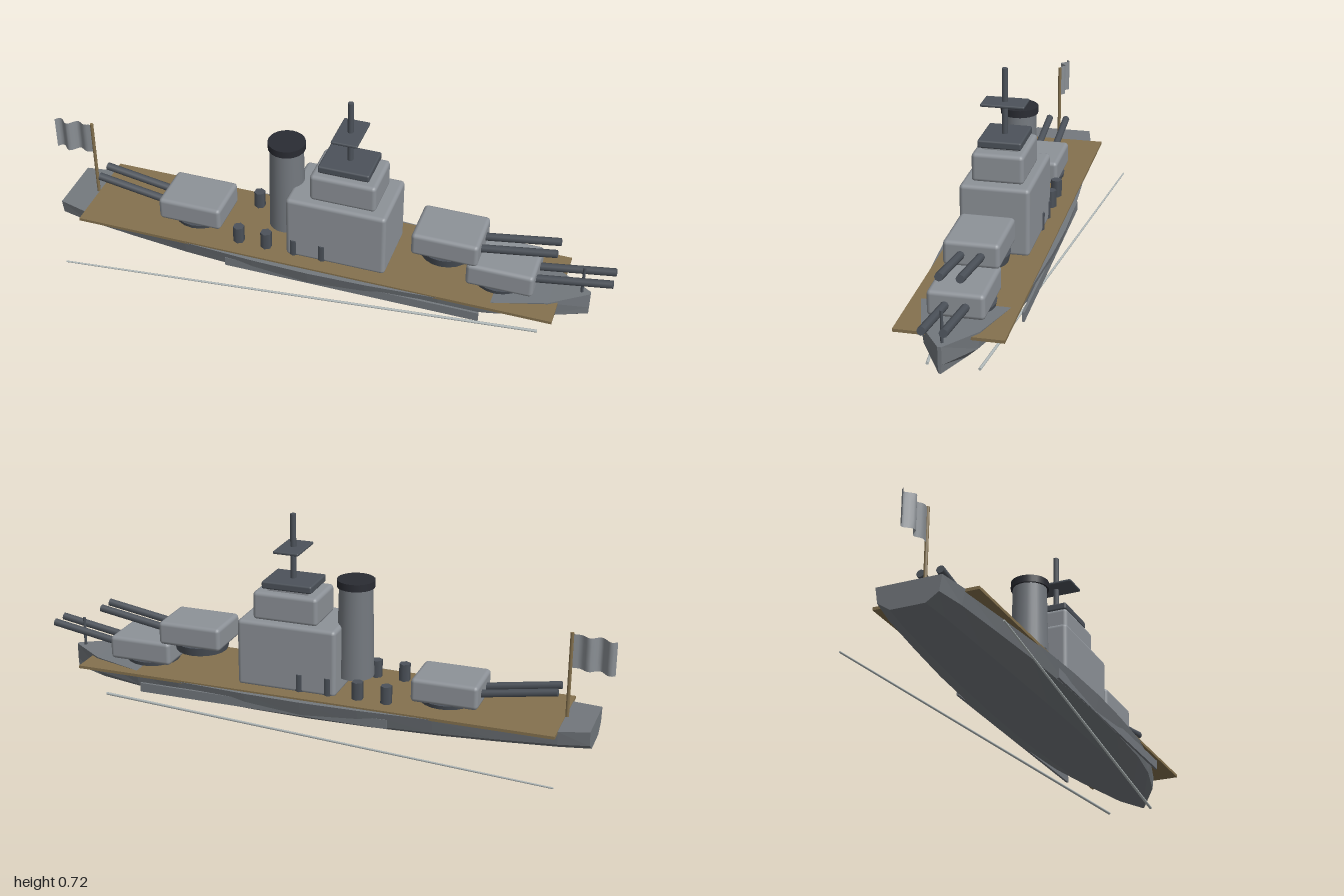
import * as THREE from 'three';
import { RoundedBoxGeometry } from 'three/addons/geometries/RoundedBoxGeometry.js';

const mat = (name, color, extra = {}) => {
  const m = new THREE.MeshStandardMaterial({ color, ...extra });
  m.name = name;
  return m;
};

// Hull lofted from stations: [x, half width at deck, deck height]
function hullGeometry() {
  const stations = [
    [-0.95, 0.105, 0.144], [-0.85, 0.127, 0.139], [-0.65, 0.15, 0.136], [-0.45, 0.17, 0.135],
    [-0.2, 0.185, 0.135], [0, 0.19, 0.135], [0.2, 0.185, 0.135], [0.45, 0.17, 0.136],
    [0.62, 0.142, 0.141], [0.8, 0.09, 0.146], [0.925, 0.006, 0.15],
  ];
  const rings = stations.map(([x, w, top]) => {
    const t = (x / 0.93) ** 2;
    const knuckle = 0.08 + 0.012 * t, keel = 0.04 + 0.024 * t;
    return [[w, top], [w * 0.92, knuckle], [w * 0.53, keel],
      [-w * 0.53, keel], [-w * 0.92, knuckle], [-w, top]].map(([z, y]) => [x, y, z]);
  });
  const pos = [];
  const tri = (a, b, c) => pos.push(...a, ...b, ...c);
  for (let i = 0; i < rings.length - 1; i++) {
    const a = rings[i], b = rings[i + 1];
    for (let j = 0; j < 6; j++) {
      const k = (j + 1) % 6;
      tri(a[j], a[k], b[k]);
      tri(a[j], b[k], b[j]);
    }
  }
  const stern = rings[0], bow = rings[rings.length - 1];
  for (let j = 1; j < 5; j++) {
    tri(stern[0], stern[j + 1], stern[j]);
    tri(bow[0], bow[j], bow[j + 1]);
  }
  const g = new THREE.BufferGeometry();
  g.setAttribute('position', new THREE.Float32BufferAttribute(pos, 3));
  g.computeVertexNormals();
  return g;
}

export function createModel() {
  const ship = new THREE.Group();
  ship.name = 'battleship';

  const hullGrey = mat('hull grey', 0x73787d, { flatShading: true });
  const upperGrey = mat('upperworks grey', 0x8d9298);
  const funnelGrey = mat('funnel grey', 0x74797f);
  const darkGrey = mat('dark metal', 0x4c525a);
  const black = mat('funnel black', 0x2a2c33);
  const wood = mat('deck wood', 0x84714e);
  const cloth = mat('flag cloth', 0x8a8f94, { side: THREE.DoubleSide });
  const foam = mat('wake foam', 0xb2baba);

  const add = (name, geo, material, x, y, z, parent = ship) => {
    const m = new THREE.Mesh(geo, material);
    m.name = name;
    m.position.set(x, y, z);
    parent.add(m);
    return m;
  };
  // Box given by its limits in x and y and its half width in z
  const block = (name, x0, x1, y0, y1, hz, r, material) => add(name,
    r ? new RoundedBoxGeometry(x1 - x0, y1 - y0, hz * 2, 2, r) : new THREE.BoxGeometry(x1 - x0, y1 - y0, hz * 2),
    material, (x0 + x1) / 2, (y0 + y1) / 2, 0);
  const post = (name, rTop, rBottom, y0, y1, sides, material, x, z = 0) => add(name,
    new THREE.CylinderGeometry(rTop, rBottom, y1 - y0, sides), material, x, (y0 + y1) / 2, z);
  // Straight rod between two points, tapering from r0 to r1
  const rod = (name, a, b, r0, r1, sides, material, parent = ship) => {
    const p = new THREE.Vector3(...a), d = new THREE.Vector3(...b).sub(p);
    const m = add(name, new THREE.CylinderGeometry(r1, r0, d.length(), sides), material, 0, 0, 0, parent);
    m.position.copy(p).addScaledVector(d, 0.5);
    m.quaternion.setFromUnitVectors(new THREE.Vector3(0, 1, 0), d.normalize());
    return m;
  };

  // Hull, deck and side belts
  add('hull', hullGeometry(), hullGrey, 0, 0, 0);
  block('deck', -0.85, 0.83, 0.131, 0.141, 0.17, 0, wood);
  for (const s of [-1, 1]) {
    add('sideBelt', new THREE.BoxGeometry(0.89, 0.032, 0.008), hullGrey, 0.145, 0.097, s * 0.172);
  }

  // Superstructure and bridge
  block('superstructure', -0.1, 0.25, 0.135, 0.37, 0.117, 0.014, upperGrey);
  block('upperHouse', -0.025, 0.205, 0.365, 0.465, 0.087, 0.014, upperGrey);
  block('bridgeNeck', 0.015, 0.16, 0.455, 0.48, 0.06, 0, upperGrey);
  block('bridgeTop', 0, 0.177, 0.474, 0.5, 0.073, 0.006, darkGrey);
  post('mast', 0.01, 0.01, 0.495, 0.723, 10, darkGrey, 0.09);
  block('yard', 0.045, 0.135, 0.6, 0.61, 0.073, 0.004, darkGrey);

  // Funnel
  post('funnel', 0.057, 0.064, 0.183, 0.5, 24, funnelGrey, -0.132);
  post('funnelCap', 0.064, 0.064, 0.497, 0.522, 24, black, -0.132);

  // Main turrets with twin barrels
  const turret = (name, x, y, dir) => {
    const g = new THREE.Group();
    g.name = name;
    g.position.set(x, y, 0);
    g.rotation.y = dir > 0 ? 0 : Math.PI;
    add('barbette', new THREE.CylinderGeometry(0.097, 0.09, 0.03, 20), darkGrey, -0.01, -0.01, 0, g);
    add('gunhouse', new RoundedBoxGeometry(0.228, 0.083, 0.18, 2, 0.014), upperGrey, 0, 0.0415, 0, g);
    for (const z of [-0.032, 0.032]) {
      rod('barrel', [0.06, 0.032, z], [0.362, 0.083, z], 0.0135, 0.0135, 8, darkGrey, g);
    }
    ship.add(g);
  };
  turret('foreTurret', 0.633, 0.15, 1);
  turret('raisedTurret', 0.443, 0.228, 1);
  turret('aftTurret', -0.465, 0.15, -1);

  // Small deck guns along both sides
  for (const x of [-0.275, -0.175, -0.073, 0.028]) {
    for (const z of [-0.103, 0.103]) post('deckGun', 0.02, 0.02, 0.138, 0.202, 6, darkGrey, x, z);
  }

  // Bow staff, flagpole and waving flag
  post('bowStaff', 0.005, 0.005, 0.14, 0.252, 8, darkGrey, 0.895);
  post('flagpole', 0.006, 0.006, 0.13, 0.43, 8, wood, -0.855);
  const flagGeo = new THREE.PlaneGeometry(0.142, 0.115, 16, 4);
  const p = flagGeo.attributes.position;
  for (let i = 0; i < p.count; i++) {
    const u = 0.071 - p.getX(i);
    p.setZ(i, 0.014 * Math.sin(u * 88) * Math.min(1, u * 15));
    p.setY(i, p.getY(i) - u * 0.06);
  }
  flagGeo.computeVertexNormals();
  add('flag', flagGeo, cloth, -0.929, 0.368, 0);

  // Bow wave trails
  for (const s of [-1, 1]) {
    rod('wakeTrail', [0.775, 0.007, s * 0.081], [-0.872, 0.007, s * 0.257], 0.005, 0.003, 8, foam);
  }

  return ship;
}
